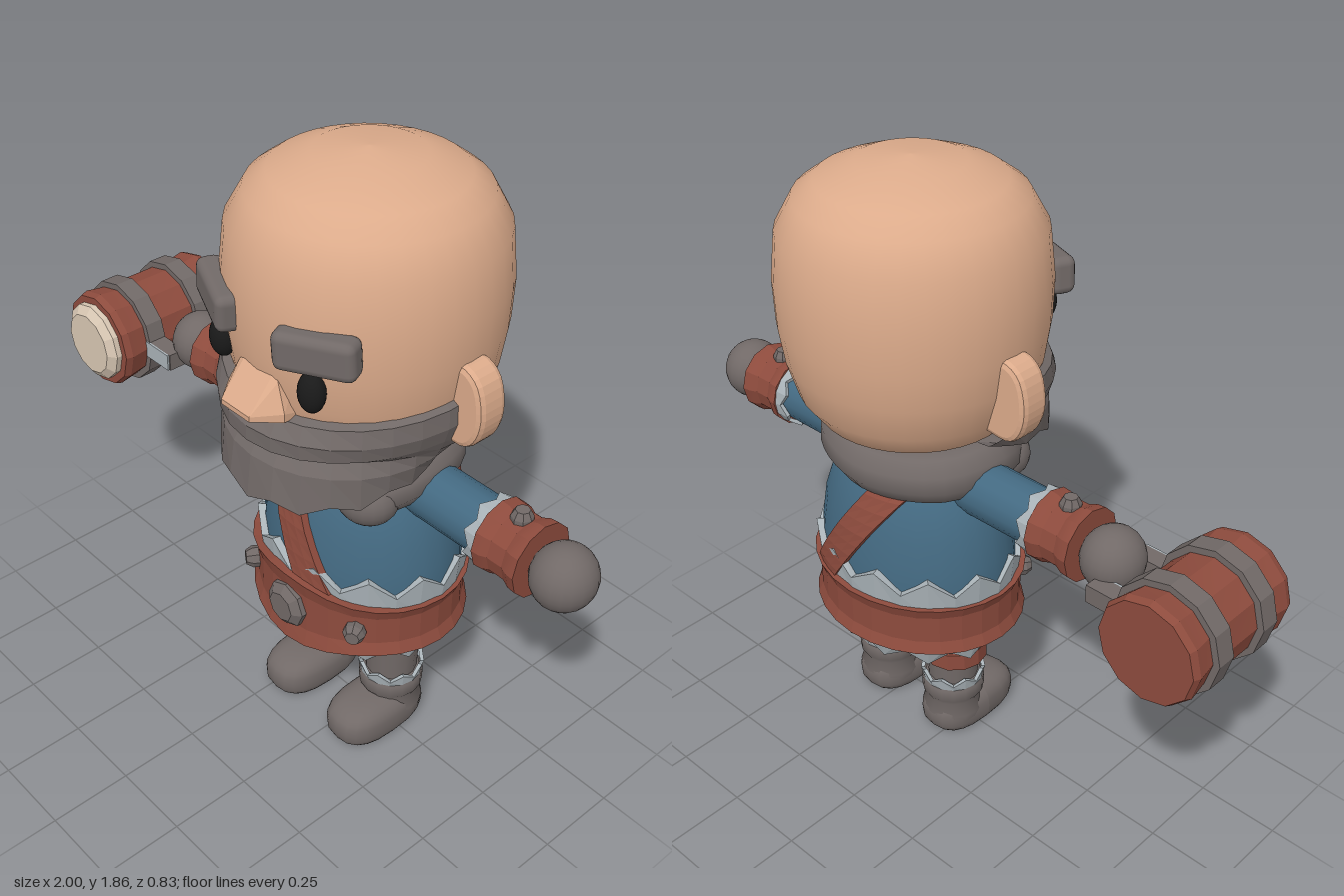
import * as THREE from 'three';
import { toCreasedNormals } from 'three/addons/utils/BufferGeometryUtils.js';
import { RoundedBoxGeometry } from 'three/addons/geometries/RoundedBoxGeometry.js';
import { ConvexGeometry } from 'three/addons/geometries/ConvexGeometry.js';

const V2 = (p) => p.map(([x, y]) => new THREE.Vector2(x, y));
const V3 = (p) => p.map((q) => new THREE.Vector3(...q));
const lerp = THREE.MathUtils.lerp;
const Z = -0.035; // depth of the body axis

export function createModel() {
  const mat = (name, color) => new THREE.MeshStandardMaterial({ name, color, side: THREE.DoubleSide });
  const skin = mat('skin', 0xdcab8b), grey = mat('warm grey', 0x716967), red = mat('red leather', 0x8d4b3d);
  const blue = mat('blue cloth', 0x446a82), trim = mat('pale trim', 0xa9b2b7), cream = mat('cream', 0xd8c7b3);
  const black = mat('black', 0x1a1a1a);

  const model = new THREE.Group();
  model.name = 'hammerFighter';
  const body = new THREE.Group();
  body.name = 'body';
  body.position.x = 0.173;
  model.add(body);

  const add = (parent, name, geo, m, pos = [0, 0, 0], scale = [1, 1, 1]) => {
    const mesh = new THREE.Mesh(geo, m);
    mesh.name = name;
    mesh.position.set(...pos);
    mesh.scale.set(...scale);
    parent.add(mesh);
    return mesh;
  };
  const lathe = (pts, seg, crease = 0.7) => toCreasedNormals(new THREE.LatheGeometry(V2(pts), seg), crease);
  const ball = () => new THREE.SphereGeometry(1, 20, 14);

  // Flat-shaded surface through rows of cross-section points
  const loft = (rows, cols, f) => {
    const pos = [];
    for (let i = 0; i < rows; i++) for (let j = 0; j < cols; j++) {
      const a = f(i, j), b = f(i + 1, j), c = f(i + 1, j + 1), d = f(i, j + 1);
      pos.push(...a, ...b, ...c, ...a, ...c, ...d);
    }
    const g = new THREE.BufferGeometry();
    g.setAttribute('position', new THREE.Float32BufferAttribute(pos, 3));
    g.computeVertexNormals();
    return g;
  };

  // Ring of cloth with a zigzag edge
  const zigzag = (r, tipR, depth, y, h, amp, n) => loft(3, 2 * n, (i, j) => {
    const a = (j / n) * Math.PI, tip = i < 2;
    const rad = (tip ? tipR : r) * (i === 0 || i === 3 ? 0.88 : 1);
    return [rad * Math.sin(a), y + (tip ? h + (j % 2) * amp : 0), rad * depth * Math.cos(a)];
  });

  // Head
  add(body, 'head', new THREE.LatheGeometry(V2([[0, 1.04], [0.1, 1.045], [0.2, 1.065], [0.285, 1.12], [0.335, 1.19],
    [0.366, 1.295], [0.381, 1.4], [0.385, 1.52], [0.37, 1.665], [0.32, 1.755], [0.26, 1.8], [0.15, 1.845], [0, 1.86]]), 36),
  skin, [0, 0, -0.03]);
  add(body, 'nose', new ConvexGeometry(V3([-1, 1].flatMap((s) => [[0.055 * s, 1.385, 0.33], [0.055 * s, 1.38, 0.25],
    [0.075 * s, 1.36, 0.34], [0.055 * s, 1.28, 0.42], [0.055 * s, 1.265, 0.42], [0.11 * s, 1.285, 0.35],
    [0.11 * s, 1.26, 0.35], [0.1 * s, 1.25, 0.25], [0.05 * s, 1.25, 0.38]]))), skin);
  const earShape = new THREE.Shape();
  earShape.moveTo(0.33, 1.375);
  earShape.splineThru(V2([[0.38, 1.395], [0.425, 1.365], [0.442, 1.29], [0.43, 1.225], [0.395, 1.187], [0.33, 1.19]]));
  const earGeo = new THREE.ExtrudeGeometry(earShape, { depth: 0.06, bevelThickness: 0.018, bevelSize: 0.017, bevelSegments: 2, curveSegments: 3 });
  for (const s of [-1, 1]) {
    add(body, 'ear', earGeo, skin, [0, 0, -0.07], [s, 1, 1]);
    add(body, 'eye', ball(), black, [0.173 * s, 1.37, 0.315], [0.04, 0.058, 0.035]);
    const brow = add(body, 'eyebrow', new RoundedBoxGeometry(0.225, 0.11, 0.075, 2, 0.025), grey, [0.187 * s, 1.49, 0.312]);
    brow.rotation.set(0, 0.42 * s, 0.06 * s);
  }

  // Beard and moustache: the profile changes from the cheeks to the chin
  const cheek = [[0.35, 1.32], [0.385, 1.3], [0.387, 1.24], [0.37, 1.19], [0.355, 1.15], [0.325, 1.12], [0.29, 1.09], [0.15, 1.07]];
  const chin = [[0.34, 1.265], [0.385, 1.255], [0.417, 1.21], [0.417, 1.165], [0.375, 1.16], [0.405, 1.11], [0.42, 0.98], [0.18, 1.02]];
  add(body, 'beard', loft(7, 16, (i, j) => {
    const a = (j / 8 - 1) * 1.6, c = Math.max(0, Math.cos(a));
    const r = lerp(cheek[i][0], chin[i][0], i < 5 ? c ** 3 : c);
    const jag = i === 6 && j > 2 && j < 14 ? (j % 2) * 0.025 : 0;
    return [r * Math.sin(a), lerp(cheek[i][1], chin[i][1], c) + jag, r * Math.cos(a) - 0.03];
  }), grey);

  // Collar roll open at the front, with drooping ends
  const half = [[0.17, 0.965, 0.13], [0.225, 1.0, 0.02], [0.19, 1.0, -0.13]];
  const collar = new THREE.CatmullRomCurve3(V3([...half, [0, 0.99, -0.205], ...half.map(([x, y, z]) => [-x, y, z]).reverse()]));
  add(body, 'collar', new THREE.TubeGeometry(collar, 28, 0.083, 10), grey);
  for (const s of [-1, 1]) add(body, 'collarEnd', ball(), grey, [0.183 * s, 0.955, 0.125], [0.095, 0.083, 0.085]);

  // Torso and hips
  const torso = [[0.32, 0.5], [0.325, 0.62], [0.318, 0.7], [0.302, 0.8], [0.268, 0.9], [0.2, 1.0], [0.1, 1.07], [0, 1.08]];
  add(body, 'torso', new THREE.LatheGeometry(V2(torso), 28), blue, [0, 0, Z], [1, 1, 0.8]);
  add(body, 'hips', lathe([[0, 0.325], [0.14, 0.335], [0.23, 0.365], [0.285, 0.42], [0.3, 0.52]], 24, 1), grey, [0, 0, Z], [1, 1, 0.8]);
  add(body, 'tunicTrim', zigzag(0.325, 0.337, 0.83, 0.56, 0.075, 0.055, 12), trim, [0, 0, Z]);
  add(body, 'hemTrim', zigzag(0.325, 0.285, 0.83, 0.46, -0.07, -0.04, 12), trim, [0, 0, Z]);

  // Belt, taller at the front
  add(body, 'belt', loft(5, 28, (i, j) => {
    const a = (j / 14) * Math.PI, t = [1, 1, 0.55, -0.55, -1, -1][i];
    const h = 0.08 + 0.04 * Math.max(0, Math.cos(a)) ** 6;
    const r = [0.88, 1.01, 0.965, 0.965, 1.01, 0.88][i] * 0.34;
    return [r * Math.sin(a), 0.515 + t * h, r * 0.865 * Math.cos(a)];
  }), red, [0, 0, -0.03]);
  const knob = (r, n) => lathe([[r, 0], [r, 0.02], [r * 0.65, 0.04], [0, 0.04]], n, 0.3);
  add(body, 'buckle', knob(0.073, 8), grey, [0, 0.515, 0.243]).rotation.x = Math.PI / 2;
  for (const s of [-1, 1]) {
    const stud = add(body, 'beltStud', knob(0.033, 8), grey, [0.212 * s, 0.515, 0.185]);
    stud.rotation.set(Math.PI / 2, 0, -0.55 * s);
  }

  // Strap from the right shoulder to the left hip, front and back
  const torsoR = (y) => {
    const k = torso.findIndex((p) => p[1] >= y), p = torso[k - 1], q = torso[k];
    return lerp(p[0], q[0], (y - p[1]) / (q[1] - p[1]));
  };
  for (const s of [-1, 1]) add(body, s > 0 ? 'frontStrap' : 'backStrap', loft(10, 5, (i, j) => {
    const y = 1.0 - 0.042 * i, R = torsoR(y);
    const x = lerp(-0.13, s > 0 ? 0.1 : 0.15, i / 10) + [-0.058, -0.058, -0.02, 0.02, 0.058, 0.058][j];
    const z = 0.8 * Math.sqrt(Math.max(0.001, R * R - x * x)) + (j % 5 ? 0.022 : -0.02);
    return [x, y, Z + s * z];
  }), red);
  add(body, 'shoulderPad', new RoundedBoxGeometry(0.075, 0.18, 0.16, 1, 0.03), red, [0.235, 1.0, -0.07]).rotation.z = 0.25;

  // Arms, lying along x
  for (const s of [-1, 1]) {
    const arm = new THREE.Group();
    arm.name = s > 0 ? 'leftArm' : 'rightArm';
    arm.position.set(0, 0.94, Z);
    arm.scale.x = s;
    body.add(arm);
    const along = (name, geo, m) => { add(arm, name, geo, m).rotation.z = -Math.PI / 2; };
    along('sleeve', new THREE.CylinderGeometry(0.085, 0.085, 0.42, 16).translate(0, 0.29, 0), blue);
    along('cuffTrim', zigzag(0.103, 0.1, 1, 0.525, -0.03, -0.022, 8), trim);
    along('bracer', lathe([[0, 0.515], [0.108, 0.515], [0.106, 0.54], [0.097, 0.56], [0.097, 0.61], [0.108, 0.635], [0.11, 0.66], [0, 0.66]], 12, 0.4), red);
    add(arm, 'bracerStud', knob(0.031, 8), grey, [0.585, 0.082, 0]);
    add(arm, 'fist', ball(), grey, [0.737, -0.003, 0], [0.09, 0.094, 0.094]);
  }

  // Legs and boots
  const foot = new THREE.SphereGeometry(1, 20, 16), fp = foot.attributes.position;
  for (let i = 0; i < fp.count; i++) {
    const q = (v) => Math.sign(v) * Math.abs(v) ** 0.75;
    fp.setXYZ(i, 0.097 * q(fp.getX(i)), Math.max(0, 0.05 + 0.077 * q(fp.getY(i))), 0.164 * q(fp.getZ(i)));
  }
  foot.computeVertexNormals();
  for (const s of [-1, 1]) {
    const leg = new THREE.Group();
    leg.name = s > 0 ? 'leftLeg' : 'rightLeg';
    leg.position.set(0.143 * s, 0, Z);
    body.add(leg);
    add(leg, 'trouserLeg', new THREE.CylinderGeometry(0.088, 0.078, 0.28, 14), grey, [0, 0.32, 0]);
    add(leg, 'bootShaft', lathe([[0.09, 0.03], [0.098, 0.07], [0.085, 0.115], [0.097, 0.135], [0.098, 0.175], [0.085, 0.195], [0, 0.195]], 16, 0.9), grey);
    add(leg, 'foot', foot, grey, [0, 0, 0.065]);
    add(leg, 'bootTrim', zigzag(0.094, 0.101, 1, 0.18, 0.02, 0.022, 8), trim);
    if (s < 0) add(leg, 'thighBand', lathe([[0.08, 0.262], [0.1, 0.262], [0.1, 0.32], [0.08, 0.32]], 12, 0.3), red, [0, 0, 0.01]);
  }

  // Hammer, its head lying along z
  const hammer = new THREE.Group();
  hammer.name = 'hammer';
  hammer.position.set(-0.835, 0.896, 0);
  model.add(hammer);
  const turned = (name, pts, m) => { add(hammer, name, lathe(pts, 12, 0.3), m).rotation.x = Math.PI / 2; };
  turned('hammerHead', [[0, -0.245], [0.148, -0.245], [0.157, -0.225], [0.147, -0.165], [0.147, 0.085], [0.157, 0.15], [0.15, 0.172], [0, 0.172]], red);
  turned('hammerFace', [[0.127, 0.16], [0.127, 0.19], [0.1, 0.21], [0, 0.21]], cream);
  for (const z of [-0.133, 0.057]) {
    turned('hammerBand', [[0.14, z - 0.03], [0.167, z - 0.03], [0.167, z + 0.03], [0.14, z + 0.03]], grey);
    add(hammer, 'bracket', new THREE.BoxGeometry(0.12, 0.055, 0.056), grey, [0.2, 0, z]);
    add(hammer, 'bracketPlate', new THREE.BoxGeometry(0.11, 0.055, 0.006), trim, [0.2, 0, z + 0.031]);
  }
  add(hammer, 'grip', new THREE.BoxGeometry(0.04, 0.055, 0.2), grey, [0.24, 0, -0.038]);

  return model;
}
